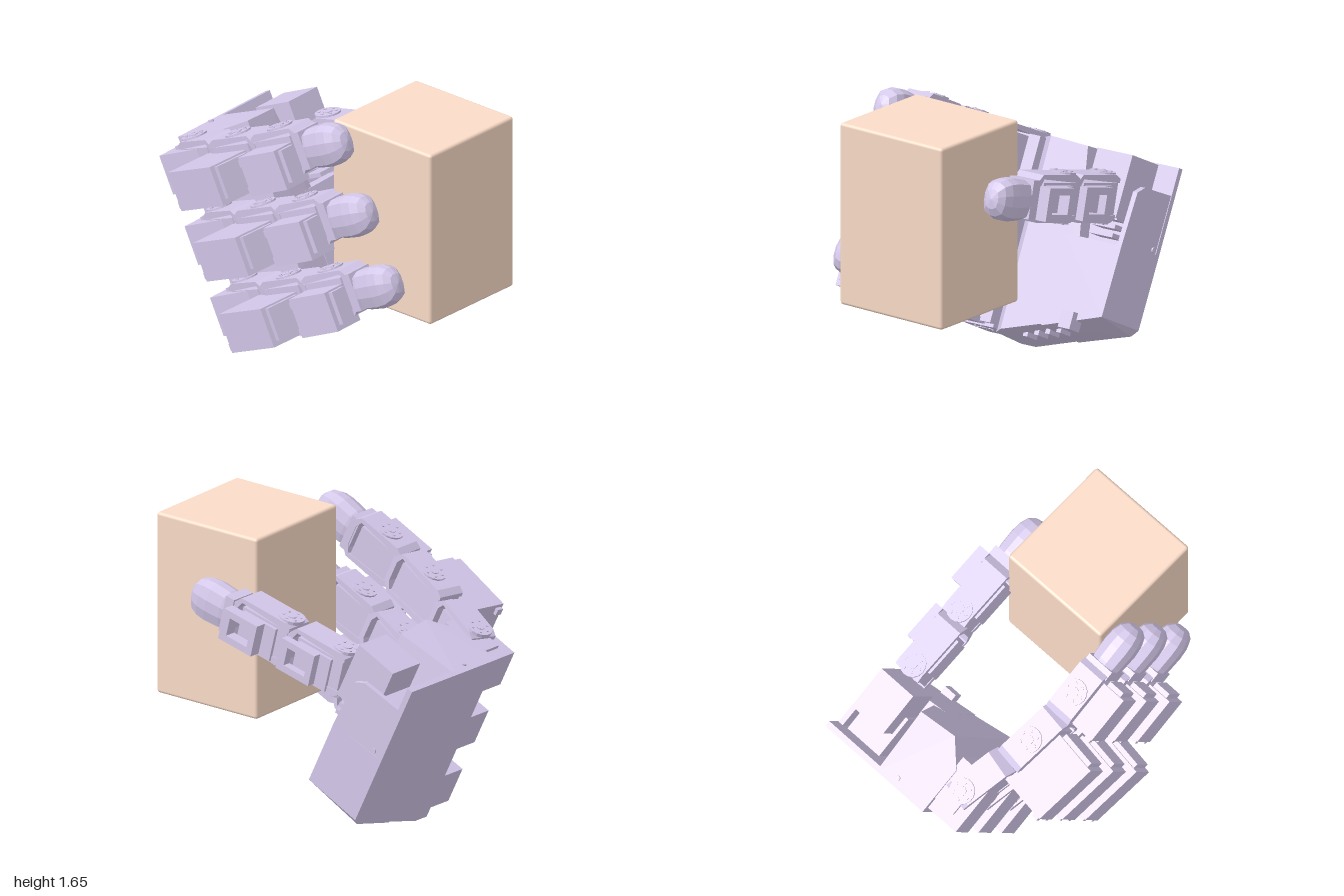
import * as THREE from 'three';
import { RoundedBoxGeometry } from 'three/addons/geometries/RoundedBoxGeometry.js';
import { ConvexGeometry } from 'three/addons/geometries/ConvexGeometry.js';

const shell = new THREE.MeshStandardMaterial({ color: 0xd4c8ea, flatShading: true });
const carton = new THREE.MeshStandardMaterial({ color: 0xfadbc7 });

function add(parent, name, geometry, x = 0, y = 0, z = 0, material = shell) {
  const mesh = new THREE.Mesh(geometry, material);
  mesh.name = name;
  mesh.position.set(x, y, z);
  parent.add(mesh);
  return mesh;
}

// Box given by its minimum and maximum on each axis
function block(parent, name, x0, x1, y0, y1, z0, z1) {
  return add(parent, name, new THREE.BoxGeometry(x1 - x0, y1 - y0, z1 - z0),
    (x0 + x1) / 2, (y0 + y1) / 2, (z0 + z1) / 2);
}

function hull(parent, name, points) {
  return add(parent, name, new ConvexGeometry(points.map(p => new THREE.Vector3(...p))));
}

function group(parent, name, x, y, z, turnY = 0) {
  const g = new THREE.Group();
  g.name = name;
  g.position.set(x, y, z);
  g.rotation.y = turnY;
  parent.add(g);
  return g;
}

// U-shaped bracket, open at the back, that wraps a servo
function bracketGeometry(width, length, top, bottom) {
  const t = 0.025, s = new THREE.Shape();
  const pts = [[-0.04, top - 0.02], [0, top], [length - 0.05, top], [length, top - 0.05],
    [length, bottom + 0.05], [length - 0.05, bottom], [0, bottom], [-0.04, bottom + 0.02],
    [-0.04, bottom + t + 0.02], [length - 0.06, bottom + t], [length - t - 0.01, bottom + 0.07],
    [length - t - 0.01, top - 0.07], [length - 0.06, top - t], [-0.04, top - t - 0.02]];
  s.setFromPoints(pts.map(p => new THREE.Vector2(...p)));
  return new THREE.ExtrudeGeometry(s, { depth: width, bevelEnabled: false })
    .translate(0, 0, -width / 2).rotateY(-Math.PI / 2);
}

// Round servo horn with a ring of screws
function horn(parent, x, y, z) {
  const g = group(parent, 'servoHorn', x, y, z);
  add(g, 'hornDisc', new THREE.CylinderGeometry(0.075, 0.075, 0.02, 16));
  add(g, 'hornHub', new THREE.CylinderGeometry(0.028, 0.028, 0.03, 10));
  for (let i = 0; i < 6; i++) {
    const a = i * Math.PI / 3;
    add(g, 'hornScrew', new THREE.CylinderGeometry(0.01, 0.01, 0.03, 6),
      0.05 * Math.cos(a), 0, 0.05 * Math.sin(a));
  }
}

// One bracketed link with its servo core and two horns
function link(parent, name, x, y, z, turn, length, hornZ = 0.02) {
  const g = group(parent, name, x, y, z, turn);
  const top = 0.16, bottom = -0.11;
  add(g, 'bracket', bracketGeometry(0.17, length, top, bottom));
  block(g, 'servoCore', -0.08, 0.08, bottom + 0.02, top - 0.045, -0.03, length - 0.07);
  block(g, 'cableGuide', -0.05, 0.05, -0.06, 0.1, length - 0.01, length + 0.04);
  horn(g, 0, top, hornZ);
  horn(g, 0, bottom, hornZ);
  return g;
}

// Servo body standing out on the back of a finger link
function outerServo(g, out, back, front) {
  block(g, 'servoBody', -out, -0.04, -0.15, 0.08, back, front);
  block(g, 'servoCap', 0.03 - out, -0.1, -0.12, 0.07, front, front + 0.03);
  for (const v of [-0.12, 0.04])
    block(g, 'servoLug', 0.01 - out, 0.05 - out, v - 0.02, v + 0.02, back - 0.02, back);
}

// Faceted rubber fingertip pointing along +z, round at the end and squarish in section
function fingertip(parent, x, y, z) {
  const profile = [[0, 0], [0.85, 0], [0.95, 0.05], [1, 0.15], [0.95, 0.21], [0.78, 0.26], [0.45, 0.29], [0, 0.3]];
  const geo = new THREE.LatheGeometry(profile.map(p => new THREE.Vector2(...p)), 12, Math.PI / 12)
    .rotateX(Math.PI / 2);
  const p = geo.attributes.position;
  for (let i = 0; i < p.count; i++) {
    const a = Math.atan2(p.getY(i), p.getX(i));
    const square = (Math.abs(Math.cos(a)) ** 3 + Math.abs(Math.sin(a)) ** 3) ** (-1 / 3);
    p.setXY(i, p.getX(i) * square * 0.094, p.getY(i) * square * 0.122);
  }
  add(parent, 'fingertip', geo, x, y, z);
  block(parent, 'tipMount', x - 0.085, x + 0.085, y - 0.1, y + 0.12, z - 0.03, z + 0.03);
}

function buildPalm(hand) {
  const palm = group(hand, 'palm', 0, 0, 0);
  // Full-height half beside the fingers, with a sloping wall towards the thumb recess
  hull(palm, 'palmShell', [
    [-0.1, 0, 0], [0, 0, 0], [0.36, 0.11, 0], [0.36, 0.13, 0.385], [0.03, 0.02, 0.425], [-0.1, 0.01, 0.27],
    [-0.1, 1.14, 0], [0.25, 1.14, 0], [0.27, 1.12, 0.415], [0.03, 1.13, 0.44], [-0.1, 1.13, 0.3],
    [0.36, 0.61, 0.01], [0.36, 0.61, 0.39]]);
  // Lower half below the thumb recess
  hull(palm, 'palmShell', [
    [0.27, 0.075, 0], [0.6, 0.17, 0], [0.638, 0.21, 0], [0.632, 0.21, 0.375], [0.27, 0.09, 0.4],
    [0.27, 0.64, 0], [0.64, 0.64, 0], [0.636, 0.62, 0.375], [0.27, 0.62, 0.405]]);
  block(palm, 'backPlate', 0.24, 0.64, 0.64, 1.14, 0, 0.035);
  hull(palm, 'recessWall', [0.605, 0.636].flatMap(x =>
    [[x, 0.62, 0.01], [x, 0.62, 0.375], [x, 0.93, 0.36], [x, 0.97, 0.3], [x, 0.98, 0.01]]));
  // Ribs and boss under the palm
  for (let i = 0; i < 4; i++)
    block(palm, 'lowerRib', 0.1 + i * 0.07, 0.13 + i * 0.07, 0.02 + i * 0.02, 0.1 + i * 0.02, 0.2, 0.3);
  block(palm, 'cableBoss', 0.4, 0.48, 0.1, 0.2, 0.33, 0.43);
  add(palm, 'sideScrew', new THREE.CylinderGeometry(0.015, 0.015, 0.02, 8), 0.635, 0.66, 0.07)
    .rotation.z = Math.PI / 2;
  add(palm, 'topScrew', new THREE.CylinderGeometry(0.015, 0.015, 0.02, 8), 0.13, 1.14, 0.05);
}

function buildFinger(hand, u) {
  const f = group(hand, 'finger', 0, u, 0);
  block(f, 'baseServo', -0.31, -0.08, -0.12, 0.11, 0.03, 0.34);
  block(f, 'baseClamp', -0.24, -0.08, -0.1, 0.13, 0.1, 0.38);
  link(f, 'knuckleLink', -0.2, 0, 0.22, -0.24, 0.32);
  outerServo(link(f, 'proximalLink', -0.3, 0, 0.57, -0.14, 0.37, 0.14), 0.35, -0.13, 0.27);
  outerServo(link(f, 'distalLink', -0.35, 0, 0.95, 0, 0.33, 0.13), 0.23, -0.03, 0.26);
  fingertip(f, -0.355, 0.01, 1.265);
}

function buildThumb(root) {
  const thumb = group(root, 'thumb', 0.51, 0.97, -0.4);
  thumb.rotation.x = -0.25;
  ['proximalLink', 'distalLink'].forEach((name, i) => {
    const g = link(thumb, name, 0.01 * i, 0, i * 0.4, 0, 0.37);
    const ear = 0.15 + i * 0.02;
    block(g, 'servoBody', -0.095, 0.1, -0.1, 0.1, 0.04, 0.28);
    // Motor ear with a square opening
    block(g, 'earPlate', 0.1, ear, -0.09, -0.05, 0.12, 0.36);
    block(g, 'earPlate', 0.1, ear, 0.06, 0.1, 0.12, 0.36);
    block(g, 'earPlate', 0.1, ear, -0.06, 0.07, 0.12, 0.16);
    block(g, 'earPlate', 0.1, ear, -0.06, 0.07, 0.31, 0.36);
  });
  fingertip(thumb, 0.02, 0.01, 0.79);
}

export function createModel() {
  const root = new THREE.Group();
  root.name = 'handHoldingBox';

  // Hand frame: y runs along the palm, z out of it
  const hand = group(root, 'hand', 0, 0.003, -0.49);
  hand.rotation.x = -0.456;
  buildPalm(hand);
  [0.145, 0.57, 0.99].forEach(u => buildFinger(hand, u));
  block(hand, 'thumbBaseServo', 0.36, 0.6, 0.76, 1.12, 0.18, 0.45);
  block(hand, 'thumbBaseMount', 0.34, 0.58, 0.6, 0.95, 0.03, 0.3);
  for (let i = 0; i < 3; i++)
    block(hand, 'thumbMountFin', 0.43, 0.59, 0.65 + i * 0.05, 0.675 + i * 0.05, 0.28, 0.42);
  buildThumb(root);

  // Held box, its top and bottom slightly skewed
  const geo = new RoundedBoxGeometry(0.705, 1.055, 0.72, 3, 0.018);
  const p = geo.attributes.position;
  for (let i = 0; i < p.count; i++)
    p.setY(i, p.getY(i) - 0.035 * p.getX(i) + 0.015 * p.getZ(i));
  add(root, 'heldBox', geo, 0.095, 1.09, 0.64, carton);
  return root;
}
